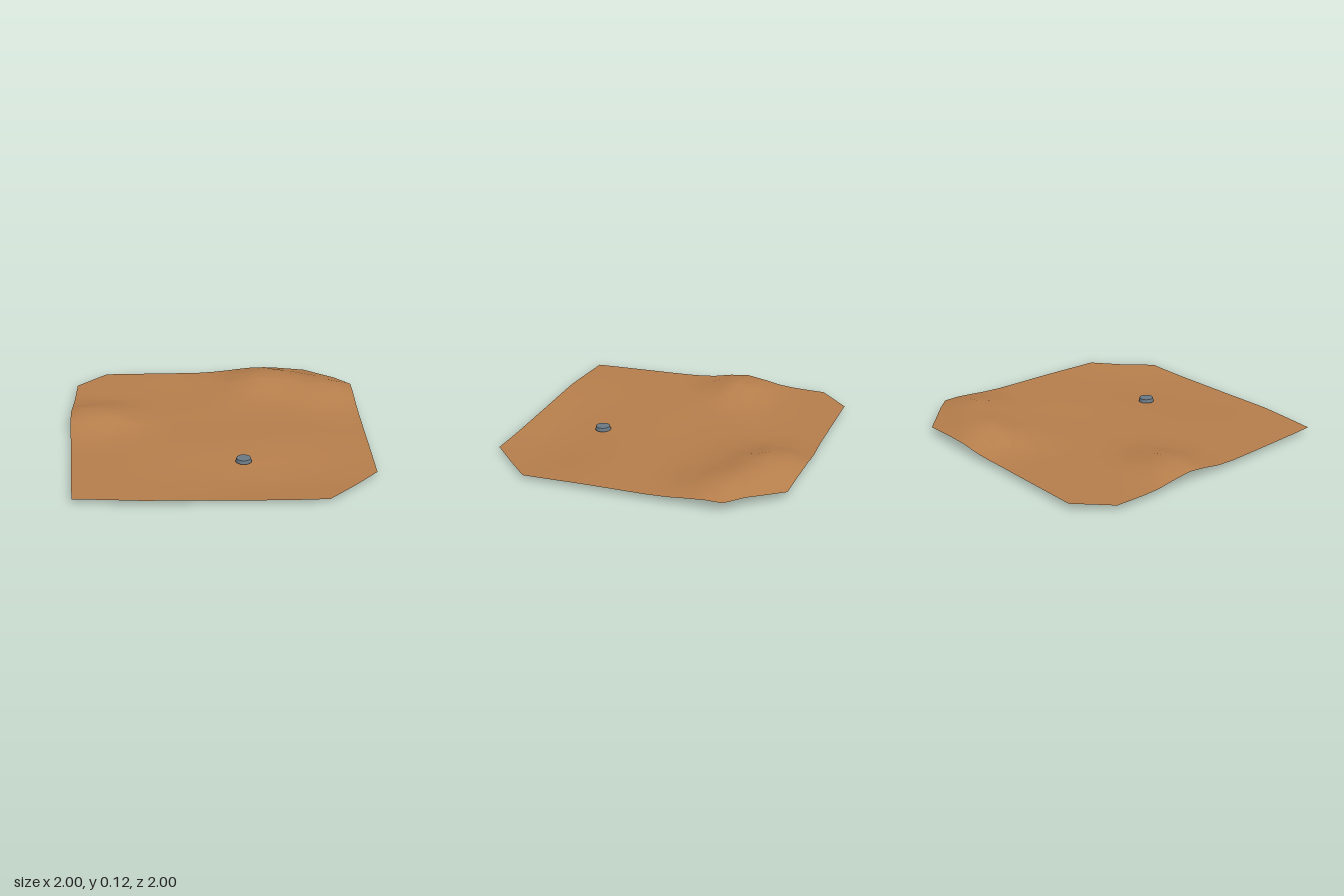
import * as THREE from 'three';

const earth = new THREE.MeshStandardMaterial({ color: 0xb9804d, side: THREE.DoubleSide });
earth.name = 'brown earth';
const slate = new THREE.MeshStandardMaterial({ color: 0x6c7a84 });
slate.name = 'slate grey';

// Piecewise-linear lookup through [position, value] pairs
function along(points, t) {
  for (let i = 1; i < points.length; i++) {
    const [a, va] = points[i - 1], [b, vb] = points[i];
    if (t <= b) return va + (vb - va) * Math.max(0, (t - a) / (b - a));
  }
  return points[points.length - 1][1];
}

// Outline of the ground: left and right borders by z, small front and back shifts by x
const leftEdge = [[-0.985, -0.78], [-0.78, -0.985], [-0.15, -1], [1, -0.93]];
const rightEdge = [[-0.985, 0.69], [-0.67, 1], [0.66, 1], [1, 0.66]];
const backShift = [[-0.1, 0], [0.15, -0.015], [0.4, -0.015], [0.69, 0]];
const frontShift = [[-0.93, -0.035], [-0.5, 0]];
const rows = [-0.985, -0.88, -0.78, -0.67, -0.56, -0.45, -0.33, -0.2, -0.07, 0.06,
  0.2, 0.34, 0.5, 0.66, 0.82, 1];

// Heights: mounds and hollows [x, z, radius x, radius z, height]
const swells = [
  [-0.82, -0.19, 0.26, 0.2, 0.08],
  [0.34, -0.77, 0.22, 0.23, 0.082],
  [0.77, -0.6, 0.24, 0.24, 0.075],
  [0.56, -0.78, 0.16, 0.2, 0.024],
  [0.48, 0.7, 0.46, 0.34, -0.035],
  [-0.1, 0.72, 0.35, 0.28, -0.016],
  [0.1, -0.12, 0.35, 0.2, -0.01],
  [-0.2, -0.62, 0.25, 0.2, -0.008],
];
function height(x, z) {
  let y = 0.038;
  for (const [cx, cz, rx, rz, h] of swells) {
    y += h * Math.exp(-(((x - cx) / rx) ** 2) - ((z - cz) / rz) ** 2);
  }
  return Math.max(0, y);
}

let seed = 11;
function jitter() {
  seed = (seed * 16807) % 2147483647;
  return seed / 2147483647 - 0.5;
}

function groundGeometry() {
  const columns = 15, last = rows.length - 1;
  const positions = [], indices = [];
  rows.forEach((rowZ, j) => {
    for (let i = 0; i <= columns; i++) {
      const l = along(leftEdge, rowZ), r = along(rightEdge, rowZ);
      let x = l + (r - l) * i / columns, z = rowZ;
      if (j === 0) z += along(backShift, x);
      else if (j === last) z += along(frontShift, x);
      else if (i > 0 && i < columns) {
        x += jitter() * 0.06;
        z += jitter() * 0.04;
      }
      positions.push(x, height(x, z), z);
      if (j < last && i < columns) {
        const a = j * (columns + 1) + i, b = a + 1, c = a + columns + 1, d = c + 1;
        // Alternate the diagonals for an irregular facet pattern
        if ((i + j) % 2) indices.push(a, c, b, b, c, d);
        else indices.push(a, c, d, a, d, b);
      }
    }
  });
  const geometry = new THREE.BufferGeometry();
  geometry.setAttribute('position', new THREE.Float32BufferAttribute(positions, 3));
  geometry.setIndex(indices);
  geometry.computeVertexNormals();
  return geometry;
}

export function createModel() {
  const group = new THREE.Group();
  group.name = 'terrain';

  const ground = new THREE.Mesh(groundGeometry(), earth);
  ground.name = 'ground';
  group.add(ground);

  // Small round marker resting in the hollow
  const disc = new THREE.Mesh(new THREE.CylinderGeometry(0.047, 0.053, 0.024, 24), slate);
  disc.name = 'disc';
  disc.position.set(0.155, 0.04, 0.47);
  group.add(disc);

  return group;
}
